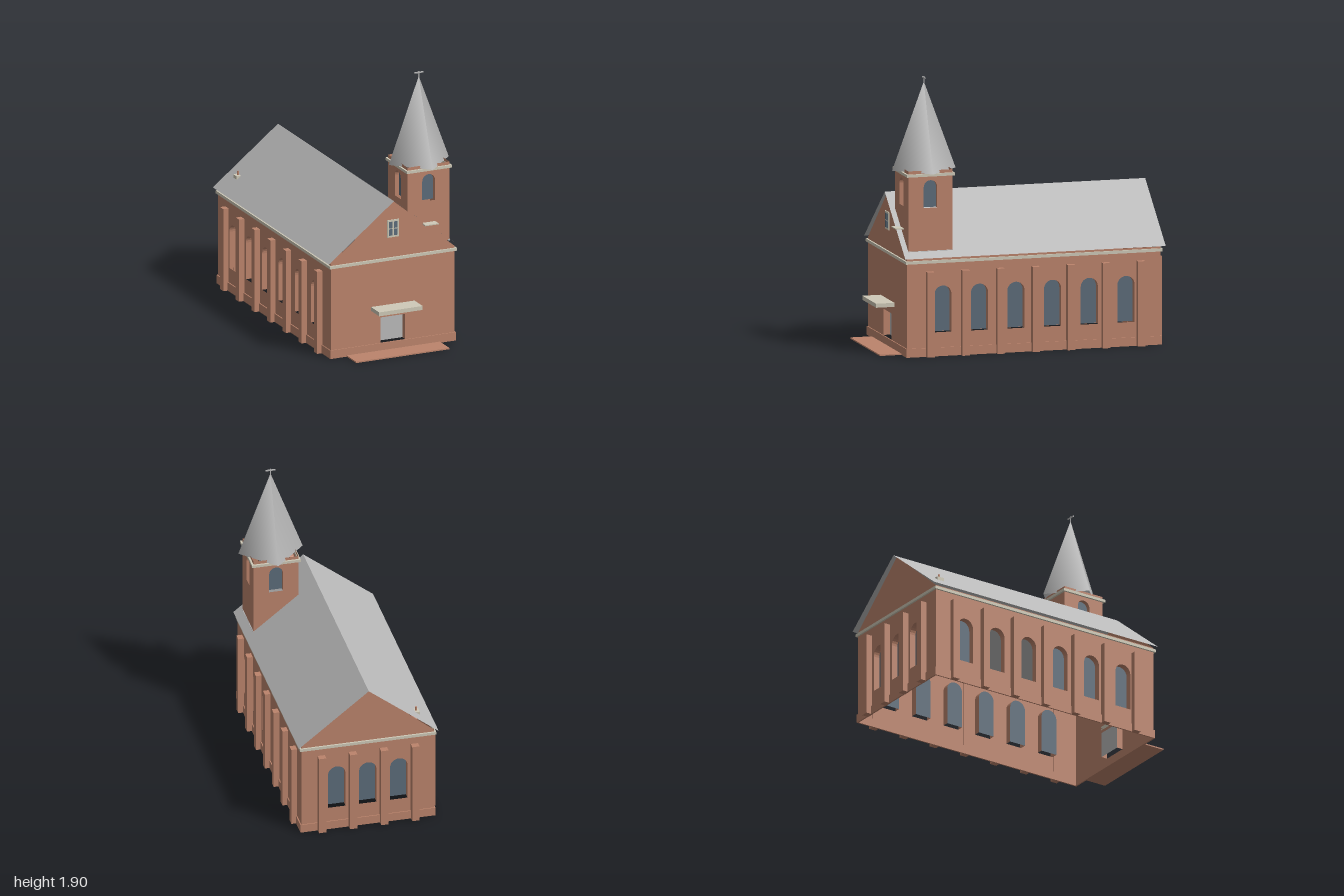
import * as THREE from 'three';

const mat = (name, color, side = THREE.DoubleSide) => {
  const m = new THREE.MeshStandardMaterial({ color, side });
  m.name = name;
  return m;
};

export function createModel() {
  const brick = mat('brick', 0xbc846c);
  const cream = mat('cream stone', 0xcfcab8);
  const grey = mat('roof grey', 0xb9b9b9);
  const glass = mat('window glass', 0x5c6c7a);
  const doorGrey = mat('door grey', 0xbababa);

  const church = new THREE.Group();
  church.name = 'church';

  const add = (name, geo, material, parent = church) => {
    const m = new THREE.Mesh(geo, material);
    m.name = name;
    parent.add(m);
    return m;
  };
  // Box given by its limits on each axis
  const box = (name, material, x0, x1, y0, y1, z0, z1) => {
    const m = add(name, new THREE.BoxGeometry(x1 - x0, y1 - y0, z1 - z0), material);
    m.position.set((x0 + x1) / 2, (y0 + y1) / 2, (z0 + z1) / 2);
    return m;
  };
  // Rectangular band around a block, hollow in the middle
  const band = (name, material, cx, cz, hx, hz, out, y0, y1) => {
    const rect = (a, b) => [[-a, -b], [a, -b], [a, b], [-a, b]].map(p => new THREE.Vector2(...p));
    const shape = new THREE.Shape(rect(hx + out, hz + out));
    shape.holes.push(new THREE.Path(rect(hx - 0.003, hz - 0.003)));
    const geo = new THREE.ExtrudeGeometry(shape, { depth: y1 - y0, bevelEnabled: false });
    geo.rotateX(-Math.PI / 2);
    add(name, geo, material).position.set(cx, y0, cz);
  };

  // Opening outline, from the lower right up and over to the lower left
  const outline = ({ u, y, w, h, arched = true }) => {
    const r = w / 2, pts = [new THREE.Vector2(u + r, y)];
    if (arched) {
      for (let i = 0; i <= 12; i++) {
        const a = Math.PI * i / 12;
        pts.push(new THREE.Vector2(u + r * Math.cos(a), y + h - r + r * Math.sin(a)));
      }
    } else pts.push(new THREE.Vector2(u + r, y + h), new THREE.Vector2(u - r, y + h));
    pts.push(new THREE.Vector2(u - r, y));
    return pts;
  };
  // Jambs and arch running inwards from an opening, without a sill
  const revealGeometry = (pts, depth) => {
    const pos = [];
    for (let i = 0; i < pts.length - 1; i++) {
      const a = pts[i], b = pts[i + 1];
      pos.push(a.x, a.y, 0, b.x, b.y, 0, b.x, b.y, -depth);
      pos.push(a.x, a.y, 0, b.x, b.y, -depth, a.x, a.y, -depth);
    }
    const geo = new THREE.BufferGeometry();
    geo.setAttribute('position', new THREE.Float32BufferAttribute(pos, 3));
    geo.computeVertexNormals();
    return geo;
  };
  // Wall skin with recessed openings; local +z faces outwards
  const wall = (name, corners, openings, angle, x, z, depth = 0.045) => {
    const g = new THREE.Group();
    g.name = name;
    g.rotation.y = angle;
    g.position.set(x, 0, z);
    church.add(g);
    const shape = new THREE.Shape(corners.map(p => new THREE.Vector2(...p)));
    for (const o of openings) {
      const pts = outline(o);
      shape.holes.push(new THREE.Path(pts));
      add('reveal', revealGeometry(pts, depth), brick, g);
      if (o.empty) continue;
      const pane = add(o.door ? 'door' : 'windowPane', new THREE.ShapeGeometry(new THREE.Shape(pts)), o.door ? doorGrey : glass, g);
      pane.position.z = -depth;
    }
    add('wallSkin', new THREE.ShapeGeometry(shape), brick, g);
  };

  // Nave walls
  const hx = 0.465, zF = 0.84, zB = -0.955, cz = (zF + zB) / 2, hz = (zF - zB) / 2, eave = 0.675;
  const gable = [[-hx, 0], [hx, 0], [hx, eave], [0, 1.064], [-hx, eave]];
  const side = [[-hz, 0], [hz, 0], [hz, eave], [-hz, eave]];
  const arch = u => ({ u, y: 0.165, w: 0.122, h: 0.32 });
  const windowZ = [0.587, 0.328, 0.07, -0.19, -0.45, -0.71];
  wall('frontWall', gable, [{ u: 0, y: 0.062, w: 0.185, h: 0.18, arched: false, door: true }], 0, 0, zF);
  wall('backWall', gable, [-0.217, 0, 0.217].map(arch), Math.PI, 0, zB);
  wall('leftWall', side, windowZ.map(z => arch(cz - z)), Math.PI / 2, hx, cz);
  wall('rightWall', side, windowZ.map((z, i) => ({ ...arch(z - cz), empty: i === 3 || i === 4 })), -Math.PI / 2, -hx, cz);

  // Plinth and cornice
  band('plinth', brick, 0, cz, hx, hz, 0.007, 0, 0.06);
  band('cornice', cream, 0, cz, hx, hz, 0.012, 0.643, 0.663);

  // Buttresses along the sides and back
  for (let i = 0; i < 7; i++) {
    const z = 0.682 - i * 0.2487;
    for (const s of [-1, 1]) {
      const m = box('buttress', brick, 0, 0.042, 0, 0.587, z - 0.026, z + 0.026);
      m.position.x = s * 0.484;
    }
  }
  for (const x of [-0.326, -0.109, 0.109, 0.326]) {
    box('backButtress', brick, x - 0.026, x + 0.026, 0, 0.587, -1, zB + 0.005);
  }

  // Roof slopes, open underneath
  const ridge = 1.067, edgeX = 0.489, edgeY = 0.681, length = 1.845;
  for (const s of [-1, 1]) {
    const slope = new THREE.PlaneGeometry(Math.hypot(edgeX, ridge - edgeY), length);
    slope.rotateX(-Math.PI / 2);
    const m = add('roofSlope', slope, grey);
    m.rotation.z = -s * Math.atan2(ridge - edgeY, edgeX);
    m.position.set(s * edgeX / 2, (ridge + edgeY) / 2, -0.0625);
  }

  // Entrance slab and canopy
  box('entranceSlab', brick, -0.35, 0.35, 0, 0.009, zF, 1);
  box('canopy', cream, -0.163, 0.163, 0.299, 0.327, zF, 0.97);

  // Gable window with four panes
  box('gableWindowFrame', cream, -0.044, 0.044, 0.806, 0.93, zF, zF + 0.006);
  for (const x of [-0.018, 0.018]) {
    for (const y of [0.842, 0.894]) {
      box('gableWindowPane', glass, x - 0.013, x + 0.013, y - 0.023, y + 0.023, zF + 0.004, zF + 0.008);
    }
  }

  // Tower: four skins, open at the top
  const tx = 0.277, tz = 0.666, th = 0.157;
  const towerSide = [[-th, 0.717], [th, 0.717], [th, 1.278], [-th, 1.278]];
  for (let i = 0; i < 4; i++) {
    const a = i * Math.PI / 2;
    wall('towerWall', towerSide, [{ u: 0, y: 1.02, w: 0.096, h: 0.19 }], a,
      tx + th * Math.sin(a), tz + th * Math.cos(a), 0.03);
  }
  band('towerCornice', cream, tx, tz, th, th, 0.013, 1.237, 1.256);
  box('towerFlashing', grey, tx + th - 0.01, tx + th + 0.004, 0.714, 0.724, tz - th, tz + th);
  box('towerLedge', cream, 0.225, 0.327, 0.861, 0.868, tz + th, 0.88);

  // Spire set cornerwise, with finial
  const spire = add('spire', new THREE.ConeGeometry(0.225, 0.605, 4, 1, true), grey);
  spire.position.set(tx, 1.26 + 0.3025, tz);
  box('finialPost', grey, tx - 0.003, tx + 0.003, 1.85, 1.9, tz - 0.003, tz + 0.003);
  box('finialBar', grey, tx - 0.034, tx + 0.034, 1.886, 1.895, tz - 0.003, tz + 0.003);

  // Small roof vent
  box('ventBase', cream, -0.382, -0.35, 0.765, 0.79, -0.885, -0.832);
  box('ventPipe', brick, -0.366, -0.356, 0.785, 0.818, -0.864, -0.853);

  return church;
}
